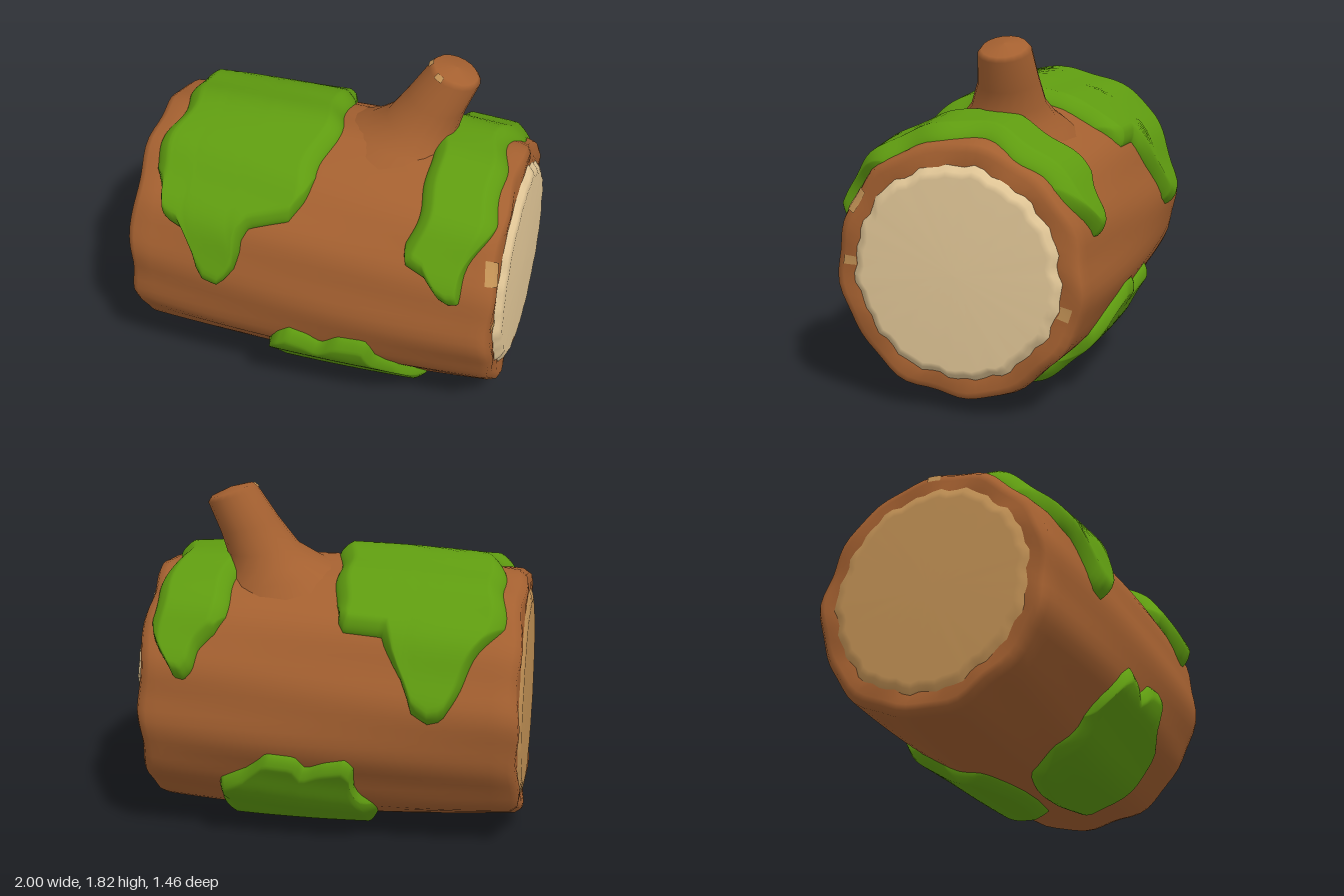
import * as THREE from 'three';

const CY = 0.73; // height of the log axis
const TAU = Math.PI * 2;

// Smooth surface over a (u, v) grid; the first axis can wrap round.
function gridGeometry(nu, nv, wrap, fn) {
  const pos = [], idx = [], cols = wrap ? nu : nu + 1;
  for (let j = 0; j <= nv; j++)
    for (let i = 0; i < cols; i++) pos.push(...fn(i / nu, j / nv));
  for (let j = 0; j < nv; j++)
    for (let i = 0; i < nu; i++) {
      const i2 = (i + 1) % cols;
      const a = j * cols + i, b = j * cols + i2, c = b + cols, d = a + cols;
      idx.push(a, b, c, a, c, d);
    }
  const g = new THREE.BufferGeometry();
  g.setAttribute('position', new THREE.Float32BufferAttribute(pos, 3));
  g.setIndex(idx);
  g.computeVertexNormals();
  return g;
}

// Bark radius: a barrel with grain ridges, narrower across z at the ends.
// Angle 0 is up, positive turns to +z.
const barkRadius = (x, a) => 0.645 + 0.035 * (1 - x * x)
  - 0.012 * x * x * Math.sin(a) ** 2
  + 0.006 * Math.sin(7 * a + 1.5 * x + 1) + 0.007 * Math.sin(13 * a - 2 * x);

const onLog = (x, a, r) => [x, CY + r * Math.cos(a), r * Math.sin(a)];

// Linear lookup in rows sorted by their first column.
function lookup(rows, x, col) {
  let i = 0;
  while (i < rows.length - 2 && x > rows[i + 1][0]) i++;
  const p = rows[i], q = rows[i + 1];
  return THREE.MathUtils.lerp(p[col], q[col], (x - p[0]) / (q[0] - p[0]));
}

// Log rows along x: [x, radius factor], with worn rims
const logRows = [[-0.98, 0.83], [-0.99, 0.92], [-0.985, 0.965], [-0.95, 1]];
for (let x = -0.85; x < 0.86; x += 0.1) logRows.push([x, 1]);
logRows.push([0.91, 1], [0.95, 0.985], [0.968, 0.93], [0.957, 0.83]);
const last = logRows.length - 1;

function logPoint(row, a, lift = 0) {
  const [x, k] = logRows[row];
  const rim = Math.abs(x) > 0.9 && k > 0.85 ? 1 : 0;
  const inset = rim * (0.015 * (0.5 + 0.5 * Math.cos(a)) + 0.009 * Math.sin(9 * a));
  const chew = rim ? 0 : (1 - k) * 0.05 * Math.sin(23 * a);
  return onLog(x - Math.sign(x) * inset + Math.sign(x) * lift, a, k * barkRadius(x, a) + chew + lift);
}

// Cut end closing the rim, with a slightly raised face
function cutEndGeometry(side) {
  const row = side > 0 ? last : 0;
  const rings = [[1, 0], [0.95, 0.6], [0.9, 0.9], [0, 1]];
  return gridGeometry(72, 3, true, (u, v) => {
    const j = Math.round(v * 3);
    const [k, rise] = rings[side > 0 ? j : 3 - j];
    const [x, y, z] = logPoint(row, u * TAU);
    return [THREE.MathUtils.lerp(x, side, rise), CY + (y - CY) * k, z * k];
  });
}

// Moss cushion on the bark; rows are [x, start angle, end angle]
function mossGeometry(rows, height, phase) {
  const x0 = rows[0][0], x1 = rows[rows.length - 1][0];
  const ease = t => 0.5 - 0.5 * Math.cos(Math.PI * t);
  return gridGeometry(56, 48, false, (u, v) => {
    const x = THREE.MathUtils.lerp(x0, x1, ease(v));
    const a0 = lookup(rows, x, 1), a1 = lookup(rows, x, 2);
    const a = THREE.MathUtils.lerp(a0, a1, ease(u));
    const edge = Math.min(x - x0, x1 - x, 0.7 * (a - a0), 0.7 * (a1 - a));
    const lift = -0.02 + (height + 0.02) * Math.sqrt(Math.min(1, Math.max(0, edge) / 0.07));
    const wx = x + 0.022 * Math.sin(5 * a + phase) + 0.015 * Math.sin(11 * a);
    return onLog(wx, a, barkRadius(wx, a) + lift);
  });
}

const angleAt = y => Math.acos((y - CY) / 0.71);

// Branch rings: [left x, left y, right x, right y, centre z, half depth]
const branchRings = [
  [-0.16, 1.32, 0.72, 1.14, -0.03, 0.38], [0, 1.385, 0.63, 1.29, -0.045, 0.3],
  [0.1, 1.425, 0.6, 1.37, -0.06, 0.24], [0.22, 1.5, 0.59, 1.45, -0.08, 0.19],
  [0.32, 1.64, 0.62, 1.56, -0.1, 0.155], [0.425, 1.8, 0.685, 1.72, -0.11, 0.135],
  [0.45, 1.82, 0.67, 1.745, -0.11, 0.115], [0.565, 1.8, 0.565, 1.8, -0.11, 0],
];
const tip = branchRings.length - 1;

function branchPoint(row, p, lift = 0) {
  const [lx, ly, rx, ry, z, rz] = branchRings[row];
  const c = Math.cos(p), w = 0.5 + 0.5 * c;
  return [lx + (rx - lx) * w + lift * c, ly + (ry - ly) * w + lift, z - (rz + lift) * Math.sin(p)];
}

export function createModel() {
  const group = new THREE.Group();
  const material = (name, color) => {
    const m = new THREE.MeshStandardMaterial({ color });
    m.name = name;
    return m;
  };
  const bark = material('bark', 0xa46030);
  const wood = material('cutWood', 0xe3c898);
  const darkWood = material('darkCutWood', 0xc49356);
  const moss = material('moss', 0x5f9c10);
  const add = (name, geometry, mat) => {
    const mesh = new THREE.Mesh(geometry, mat);
    mesh.name = name;
    group.add(mesh);
  };

  // Trunk with rolled rims, and its two cut ends
  add('trunk', gridGeometry(72, last, true,
    (u, v) => logPoint(Math.round(v * last), u * TAU)), bark);
  add('leftCutEnd', cutEndGeometry(1), wood);
  add('rightCutEnd', cutEndGeometry(-1), darkWood);

  // Chipped spots on the rims: [first row, start angle, end angle]
  for (const [row, a0, a1] of [
    [last - 3, 0.92, 1.12], [last - 1, 1.5, 1.58], [last - 1, -1.9, -1.78], [1, -0.05, 0.06],
  ]) {
    const n = row === last - 3 ? 2 : 1;
    add('rimChip', gridGeometry(6, n, false,
      (u, v) => logPoint(row + Math.round(v * n), a0 + (a1 - a0) * u, 0.004)), darkWood);
  }

  // Branch stub flaring into the trunk, with chips at its tip
  add('branch', gridGeometry(18, tip, true,
    (u, v) => branchPoint(Math.round(v * tip), u * TAU)), bark);
  for (const p of [3.1, 4.05])
    add('branchChip', gridGeometry(4, 1, false,
      (u, v) => branchPoint(tip - 2 + v, p + 0.35 * u, 0.004)), darkWood);

  // Moss draped over the top: [x, front edge height, back edge height]
  const drape = rows => rows.map(([x, f, b]) => [x, -angleAt(b), angleAt(f)]);
  add('largeTopMoss', mossGeometry(drape([
    [-0.87, 1.28, 1.25], [-0.8, 1.19, 1.13], [-0.76, 1.07, 1.05], [-0.67, 1.03, 0.88],
    [-0.62, 0.85, 0.78], [-0.55, 0.77, 0.76], [-0.46, 0.75, 0.82], [-0.42, 0.84, 0.96],
    [-0.37, 1.02, 1.08], [-0.3, 1.1, 1.17], [-0.1, 1.16, 1.18], [-0.05, 1.25, 1.22], [-0.01, 1.34, 1.3],
  ]), 0.068, 1.2), moss);
  add('smallTopMoss', mossGeometry(drape([
    [0.5, 1.18, 1.23], [0.54, 1.07, 1.15], [0.63, 1.03, 1.07], [0.69, 0.93, 0.97],
    [0.74, 0.9, 0.92], [0.79, 0.91, 0.93], [0.83, 1.06, 1.05], [0.86, 1.2, 1.14], [0.89, 1.3, 1.22],
  ]), 0.068, -1), moss);

  // Moss under the log, front and back: [x, upper edge height, lower angle]
  const under = [
    [-0.25, 0.22, 2.65], [-0.2, 0.32, 2.85], [-0.17, 0.48, 2.95], [-0.11, 0.54, 3.0],
    [0, 0.51, 3.05], [0.08, 0.46, 3.08], [0.15, 0.54, 3.1], [0.3, 0.55, 3.1],
    [0.38, 0.43, 3.08], [0.51, 0.34, 3.05], [0.55, 0.22, 2.95], [0.59, 0.15, 2.8],
  ].map(([x, y, a]) => [x, angleAt(y), a]);
  add('frontUnderMoss', mossGeometry(under, 0.052, 0), moss);
  add('backUnderMoss', mossGeometry(under.map(([x, a, b]) => [x, -b, -a]), 0.052, 0), moss);

  return group;
}
